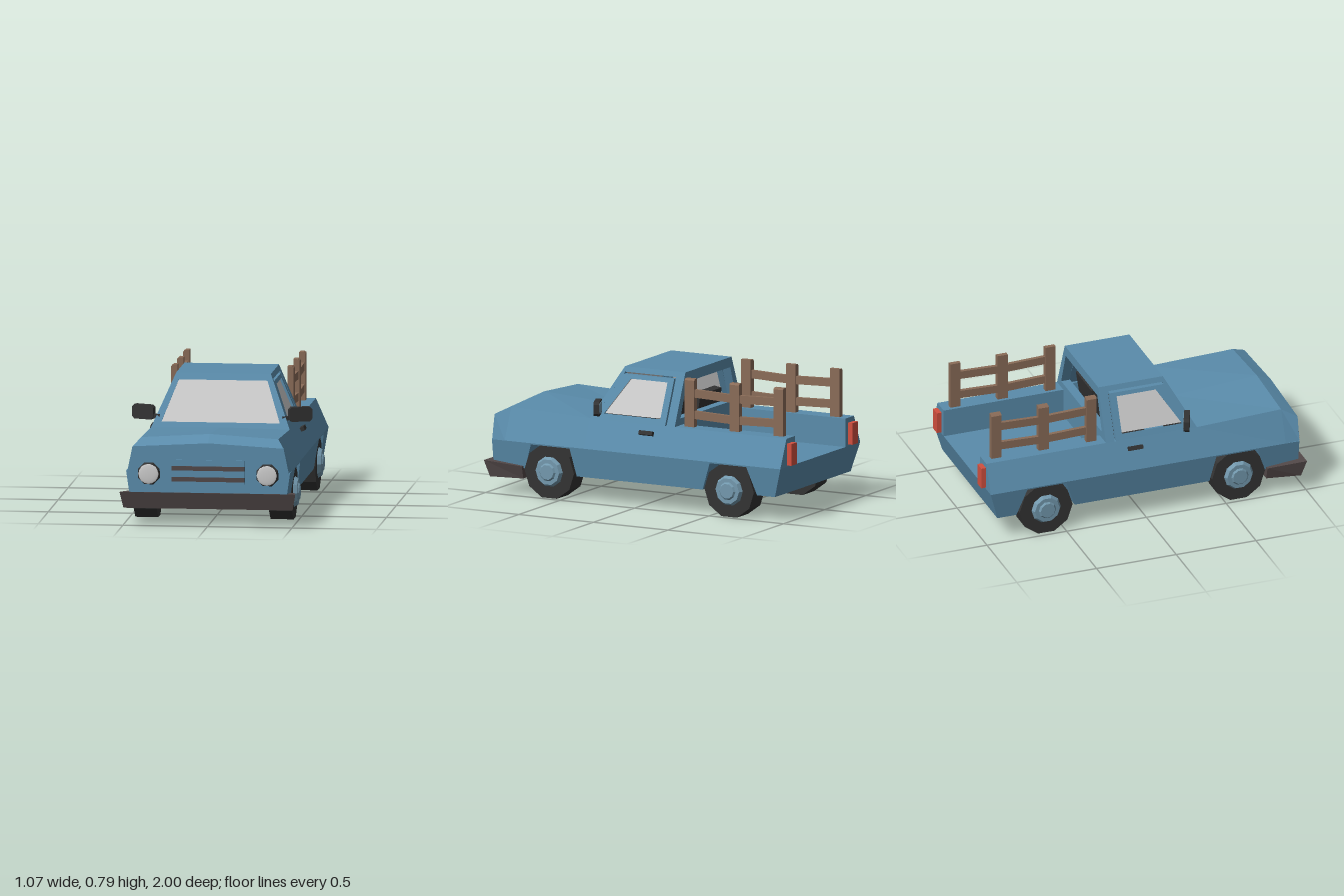
import * as THREE from 'three';

const paint = (color) => new THREE.MeshStandardMaterial({ color, flatShading: true });
const BLUE = paint(0x5a8cab), HUB = paint(0x7399ae), DARK = paint(0x333333), METAL = paint(0x524848);
const WOOD = paint(0x8a6c58), RED = paint(0xd2503f), GREY = paint(0xcccccc);

// Solid skinned over convex cross-sections of equal point count, wound outward
function loft(sections) {
  const n = sections[0].length, v = sections.flat(), tris = [];
  for (let s = 0; s < sections.length - 1; s++) {
    for (let i = 0; i < n; i++) {
      const a = s * n + i, b = s * n + (i + 1) % n;
      tris.push([a, b, b + n], [a, b + n, a + n]);
    }
  }
  const last = (sections.length - 1) * n;
  for (let i = 1; i < n - 1; i++) tris.push([0, i + 1, i], [last, last + i, last + i + 1]);
  const p = v.map((q) => new THREE.Vector3(...q));
  const volume = tris.reduce((t, [a, b, c]) => t + p[a].dot(p[b].clone().cross(p[c])), 0);
  const flat = tris.flatMap(([a, b, c]) => (volume > 0 ? [a, b, c] : [a, c, b])).flatMap((i) => v[i]);
  const g = new THREE.BufferGeometry();
  g.setAttribute('position', new THREE.Float32BufferAttribute(flat, 3));
  g.computeVertexNormals();
  return g;
}

// Constant x-y section run from z0 to z1
const prism = (pts, z0, z1) => loft([z0, z1].map((z) => pts.map(([x, y]) => [x, y, z])));

// Move every vertex by a rule
function warp(g, rule) {
  const p = g.attributes.position;
  for (let i = 0; i < p.count; i++) p.setXYZ(i, ...rule(p.getX(i), p.getY(i), p.getZ(i)));
  g.computeVertexNormals();
  return g;
}

// Flat plate, optionally with a window hole
function plate(outline, hole, depth) {
  const shape = new THREE.Shape(outline.map((p) => new THREE.Vector2(...p)));
  if (hole) shape.holes.push(new THREE.Path(hole.map((p) => new THREE.Vector2(...p))));
  return new THREE.ExtrudeGeometry(shape, { depth, bevelEnabled: false });
}

// Symmetric four-sided outline
const trapezoid = (w0, y0, w1, y1) => [[-w0, y0], [w0, y0], [w1, y1], [-w1, y1]];
// Plate drawn in (z, y), thickness along x
const sidePlate = (outline, hole, depth) =>
  plate(outline.map(([z, y]) => [-z, y]), hole && hole.map(([z, y]) => [-z, y]), depth).rotateY(Math.PI / 2);

const hullWidth = (y) => 0.46 + 0.025 * (y - 0.145) / 0.175;
const cabWidth = (y) => 0.41 - 0.13 * (y - 0.49) / 0.305;
const screenZ = (y) => 0.35 - 0.541 * (y - 0.49);

export function createModel() {
  const root = new THREE.Group();
  const add = (name, geometry, material, x = 0, y = 0, z = 0, parent = root) => {
    const m = new THREE.Mesh(geometry, material);
    m.name = name;
    m.position.set(x, y, z);
    parent.add(m);
    return m;
  };
  const box = (w, h, d) => new THREE.BoxGeometry(w, h, d);
  const disc = (r0, r1, h, n) => new THREE.CylinderGeometry(r0, r1, h, n);

  // Lower hull with wheel arches cut across the full width
  const profile = [[-0.97, 0.32], [-0.92, 0.145], [-0.8, 0.145], [-0.74, 0.312], [-0.495, 0.312], [-0.435, 0.145],
    [0.41, 0.145], [0.445, 0.312], [0.705, 0.312], [0.755, 0.16], [0.965, 0.19], [0.965, 0.32]];
  add('lowerBody', warp(sidePlate(profile, null, 2).translate(-1, 0, 0), (x, y, z) => [x * hullWidth(y), y, z]), BLUE);

  // Hood block
  const hoodSection = (z, low, side, sideY, midY) =>
    [[-low, 0.32, z], [low, 0.32, z], [side, sideY, z], [0, midY, z], [-side, sideY, z]];
  add('hood', loft([hoodSection(0.35, 0.485, 0.41, 0.49, 0.497), hoodSection(0.88, 0.485, 0.405, 0.508, 0.533),
    hoodSection(0.968, 0.477, 0.447, 0.465, 0.49)]), BLUE);

  // Bumper wrapping under the nose
  const bumperSection = (z, w, y) => [[-w + 0.02, 0.1, z - 0.03 * (z > 0.9)], [w - 0.02, 0.1, z - 0.03 * (z > 0.9)], [w, y, z], [-w, y, z]];
  add('frontBumper', loft([bumperSection(0.765, 0.485, 0.175), bumperSection(1, 0.52, 0.198)]), METAL);

  // Grille
  add('grillePanel', box(0.435, 0.14, 0.01), BLUE, 0, 0.32, 0.967);
  for (const y of [0.275, 0.34]) add('grilleSlat', box(0.43, 0.026, 0.012), METAL, 0, y, 0.97);

  // Cab: roof, windscreen frame, rear frame, bulkhead
  const roofSection = (y, front) => [[-1, front], [1, front], [1, -0.22], [-1, -0.22]].map(([s, z]) => [s * cabWidth(y), y, z]);
  add('roof', loft([roofSection(0.765, 0.201), roofSection(0.795, 0.185)]), BLUE);
  const lean = (offset) => (x, y, z) => [x, y, z + screenZ(y) - offset];
  const screen = trapezoid(0.35, 0.522, 0.262, 0.757);
  add('windscreenFrame', warp(plate(trapezoid(0.41, 0.49, 0.293, 0.765), screen, 0.025), lean(0.025)), BLUE);
  add('windscreen', warp(plate(screen, null, 0.008), lean(0.016)), GREY);
  add('rearWindowFrame', plate(trapezoid(0.41, 0.49, 0.293, 0.765), trapezoid(0.34, 0.53, 0.265, 0.735), 0.055), BLUE, 0, 0, -0.22);
  add('bulkhead', box(0.8, 0.18, 0.04), BLUE, 0, 0.402, -0.2);

  // Cab interior
  add('dashboard', box(0.72, 0.12, 0.1), DARK, 0, 0.43, 0.3);
  const wheel = add('steeringWheel', new THREE.TorusGeometry(0.07, 0.011, 6, 12), DARK, 0.18, 0.52, 0.17);
  wheel.rotation.x = 0.5;
  for (let i = 0; i < 3; i++) {
    const spoke = add('steeringSpoke', box(0.014, 0.07, 0.01).translate(0, 0.035, 0), DARK, 0, 0, 0, wheel);
    spoke.rotation.z = Math.PI / 3 + i * 2 * Math.PI / 3;
  }
  const column = add('steeringColumn', disc(0.014, 0.014, 0.12, 6), DARK, 0.18, 0.49, 0.22);
  column.rotation.x = Math.PI / 2 + 0.5;

  for (const s of [-1, 1]) {
    const mirrorX = (pts) => pts.map(([x, y]) => [s * x, y]);

    // Side walls of the cab and the bed
    add('doorPanel', prism(mirrorX([[0.485, 0.32], [0.41, 0.49], [0.365, 0.49], [0.365, 0.32]]), -0.22, 0.35), BLUE);
    add('bedWall', prism(mirrorX([[0.485, 0.32], [0.41, 0.49], [0.305, 0.49], [0.305, 0.32]]), -0.97, -0.22), BLUE);

    // Door window
    const side = (offset, t) => (x, y, z) => [s > 0 ? x + cabWidth(y) - offset : x - cabWidth(y) + offset - t, y, z];
    const pane = [[0.262, 0.525], [0.13, 0.73], [-0.115, 0.73], [-0.115, 0.525]];
    add('windowFrame', warp(sidePlate([[0.348, 0.488], [0.205, 0.752], [-0.155, 0.752], [-0.155, 0.488]], pane, 0.03), side(0.03, 0.03)), BLUE);
    add('sideWindow', warp(sidePlate(pane, null, 0.008), side(0.022, 0.008)), GREY);

    // Door handle
    const handle = add('doorHandle', box(0.025, 0.024, 0.09), DARK, s * 0.443, 0.443, -0.047);
    handle.rotation.z = s * 0.41;

    // Wing mirror with chamfered housing
    const mirror = new THREE.Group();
    mirror.name = 'wingMirror';
    mirror.position.set(s * 0.462, 0.572, 0.268);
    mirror.rotation.y = s * 0.39;
    root.add(mirror);
    const housing = (w, h, c) => [[-w, -h + c], [-w + c, -h], [w - c, -h], [w, -h + c], [w, h - c], [w - c, h], [-w + c, h], [-w, h - c]];
    add('mirrorHousing', plate(housing(0.07, 0.043, 0.015), null, 0.034), DARK, 0, 0, -0.017, mirror);
    add('mirrorGlass', plate(housing(0.055, 0.031, 0.01), null, 0.004), HUB, 0, 0, -0.02, mirror);
    add('mirrorArm', box(0.06, 0.026, 0.02), DARK, -s * 0.08, -0.022, 0, mirror);

    // Headlight
    const bezel = add('headlightBezel', disc(0.062, 0.071, 0.03, 8), DARK, s * 0.35, 0.306, 0.978);
    bezel.rotation.set(Math.PI / 2, Math.PI / 8, 0);
    const lensGeo = new THREE.SphereGeometry(0.06, 16, 6, 0, Math.PI * 2, 0, Math.PI / 2).scale(1, 0.12, 1).rotateX(Math.PI / 2);
    add('headlightLens', lensGeo, new THREE.MeshStandardMaterial({ color: 0xcccccc }), s * 0.35, 0.306, 0.992);

    // Tail light
    add('tailLight', box(0.065, 0.13, 0.04), RED, s * 0.372, 0.395, -0.98);

    // Wooden stake fence
    for (const z of [-0.292, -0.592, -0.888]) {
      add('fencePost', prism(mirrorX([[0.325, 0.48], [0.362, 0.48], [0.362, 0.768], [0.352, 0.777], [0.325, 0.777]]), z - 0.032, z + 0.032), WOOD);
    }
    for (const y of [0.558, 0.686]) {
      const rail = (z, dy) => [[0.332, -0.024], [0.355, -0.024], [0.355, 0.024], [0.332, 0.024]].map(([x, h]) => [s * x, y + h + dy, z]);
      add('fenceRail', loft([rail(-0.9, 0.006), rail(-0.592, -0.004), rail(-0.28, 0.006)]), WOOD);
    }

    // Seat
    add('seatCushion', box(0.28, 0.09, 0.2), DARK, s * 0.17, 0.37, 0);
    const back = add('seatBack', box(0.26, 0.25, 0.05), DARK, s * 0.17, 0.48, -0.1);
    back.rotation.x = -0.15;

    // Wheels
    for (const z of [0.59, -0.617]) {
      const w = new THREE.Group();
      w.name = z > 0 ? 'frontWheel' : 'rearWheel';
      w.position.set(s * 0.4, 0.158, z);
      w.rotation.z = -s * Math.PI / 2;
      root.add(w);
      add('tyre', disc(0.166, 0.166, 0.136, 10), DARK, 0, 0, 0, w);
      add('hubRim', disc(0.078, 0.094, 0.026, 10), HUB, 0, 0.077, 0, w);
      add('hubCap', disc(0.045, 0.056, 0.012, 10), HUB, 0, 0.094, 0, w);
    }
  }
  return root;
}
